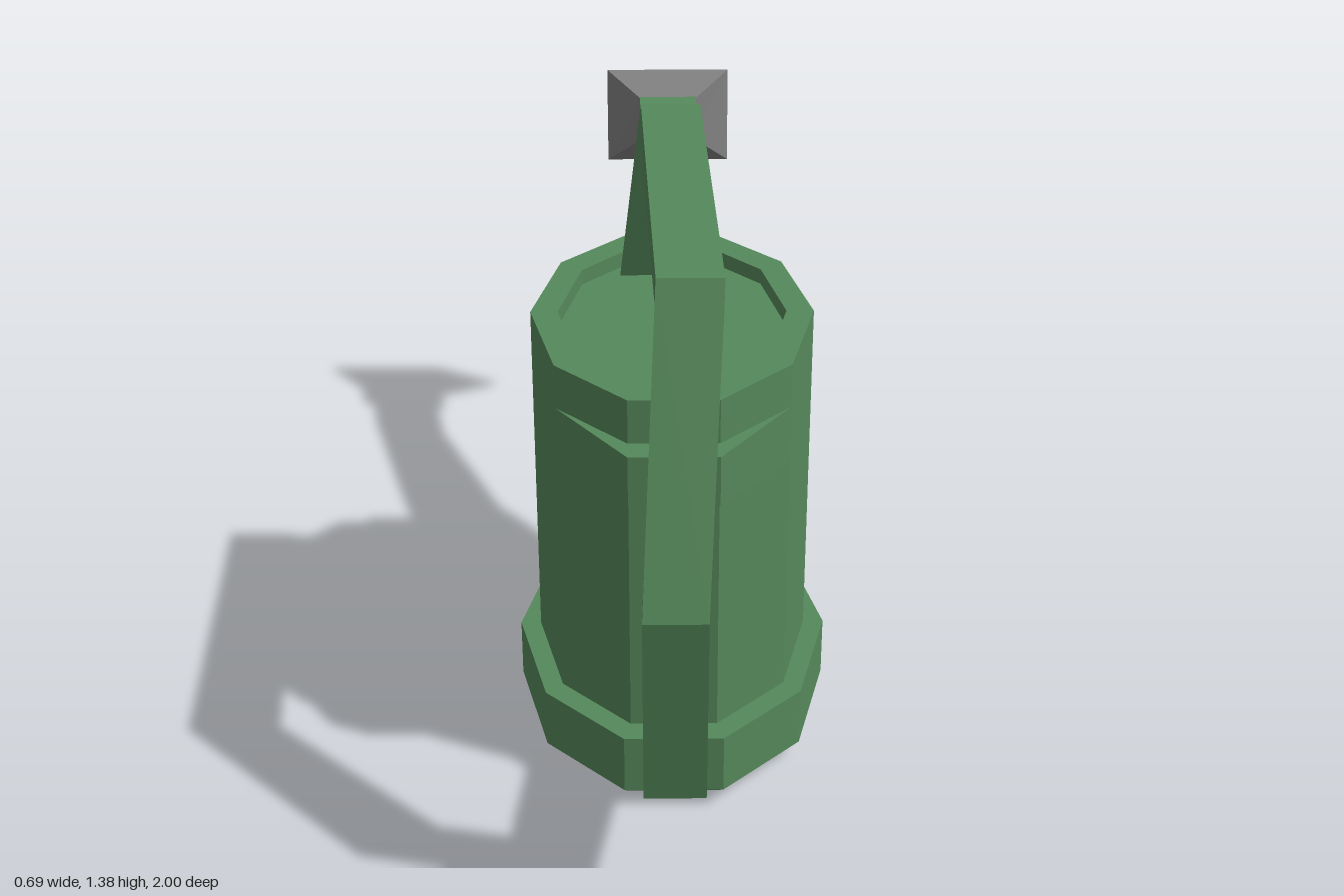
import * as THREE from 'three';

const green = new THREE.MeshStandardMaterial({ color: 0x55885a, flatShading: true });
const grey = new THREE.MeshStandardMaterial({ color: 0x808080, flatShading: true });

// Skins a list of equal-sized rings of [x, y, z] points and caps both ends.
function loft(name, rings, material) {
  const pos = [];
  const tri = (...pts) => pts.forEach((p) => pos.push(...p));
  const n = rings[0].length;
  for (let r = 0; r < rings.length - 1; r++) {
    for (let i = 0; i < n; i++) {
      const j = (i + 1) % n;
      const [a, b, c, d] = [rings[r][i], rings[r][j], rings[r + 1][j], rings[r + 1][i]];
      tri(a, d, c);
      tri(a, c, b);
    }
  }
  const first = rings[0], last = rings[rings.length - 1];
  for (let i = 1; i < n - 1; i++) {
    tri(first[0], first[i], first[i + 1]);
    tri(last[0], last[i + 1], last[i]);
  }
  const geo = new THREE.BufferGeometry();
  geo.setAttribute('position', new THREE.Float32BufferAttribute(pos, 3));
  geo.computeVertexNormals();
  const mesh = new THREE.Mesh(geo, material);
  mesh.name = name;
  return mesh;
}

// Oval ten-sided ring; bulge pushes the front and back corners outward in z.
const BODY_Z = 0.165;
function oval(y, rx, rz, bulge = 0, lift = 0) {
  return Array.from({ length: 10 }, (_, i) => {
    const t = (i * Math.PI) / 5;
    const s = Math.sin(t);
    const end = Math.abs(s) > 0.9;
    return [
      rx * Math.cos(t),
      y + (end ? lift : 0),
      BODY_Z + rz * s + (end ? bulge * Math.sign(s) : 0),
    ];
  });
}

// Four-cornered section from two [z, y] points and an x range at each.
function section([za, ya], [zb, yb], [a0, a1], [b0, b1] = [a0, a1]) {
  return [[a1, ya, za], [a0, ya, za], [b0, yb, zb], [b1, yb, zb]];
}
const wide = (w) => [-w, w];

export function createModel() {
  const group = new THREE.Group();
  group.name = 'wateringCan';

  // Body with flared foot, band at front and back, and sunken lid
  group.add(loft('body', [
    oval(0, 0.3, 0.392),
    oval(0.045, 0.345, 0.447),
    oval(0.185, 0.345, 0.447),
    oval(0.185, 0.3, 0.392),
    oval(0.76, 0.3, 0.392),
    oval(0.76, 0.3, 0.392, 0.053, 0.015),
    oval(0.89, 0.3, 0.392, 0.053),
    oval(0.89, 0.3, 0.392),
    oval(0.99, 0.3, 0.392),
    oval(0.99, 0.242, 0.328),
    oval(0.955, 0.242, 0.328),
  ], green));

  // Angular handle, from the lower front up and over to the lid
  const grip = [-0.064, 0.061], shifted = [-0.036, 0.09];
  group.add(loft('handle', [
    section([0.45, 0.201], [0.45, 0.323], grip),
    section([0.92, 0.3], [0.835, 0.375], grip),
    section([1.0, 0.78], [0.895, 0.735], grip),
    section([0.77, 1.38], [0.725, 1.275], shifted),
    section([-0.03, 1.38], [0.02, 1.305], grip),
    section([-0.118, 0.95], [-0.072, 0.95], wide(0.063), wide(0.113)),
  ], green));

  // Bent, tapering spout
  group.add(loft('spout', [
    section([-0.204, 0.7], [-0.204, 0.37], wide(0.092)),
    section([-0.4, 0.81], [-0.385, 0.68], wide(0.08)),
    section([-0.7, 0.98], [-0.695, 0.868], wide(0.05)),
    section([-0.83, 1.012], [-0.83, 0.91], wide(0.053)),
  ], green));

  // Collar joining spout and rose
  group.add(loft('spoutCollar', [
    section([-0.818, 1.018], [-0.818, 0.9], wide(0.07)),
    section([-0.885, 1.038], [-0.885, 0.922], wide(0.07)),
  ], green));

  // Flared hollow rose
  group.add(loft('rose', [
    section([-0.883, 1.032], [-0.883, 0.924], wide(0.066)),
    section([-1.0, 1.064], [-0.985, 0.823], wide(0.153)),
    section([-0.998, 1.04], [-0.987, 0.85], wide(0.125)),
    section([-0.934, 1.018], [-0.928, 0.908], wide(0.08)),
  ], grey));

  return group;
}
